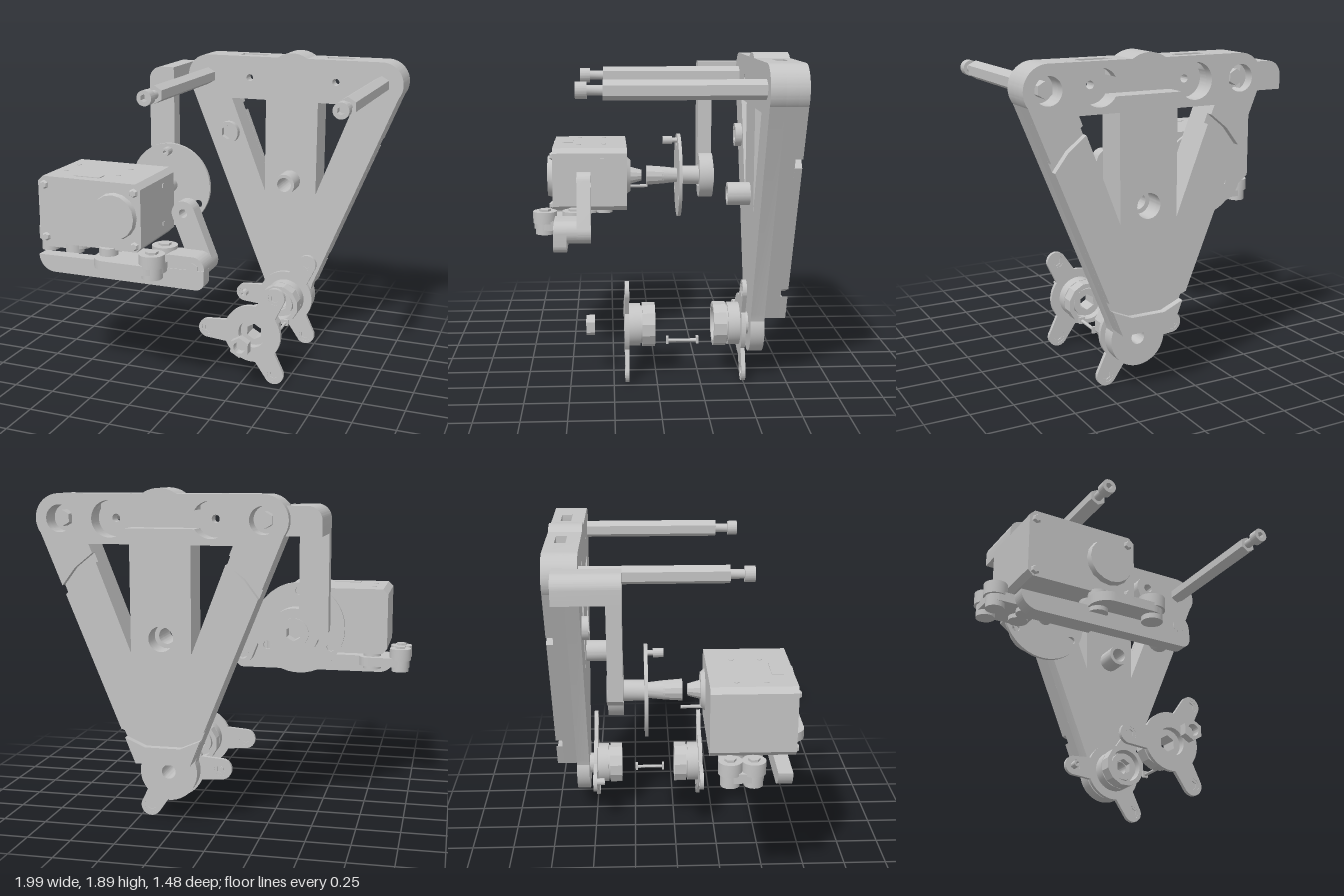
import * as THREE from 'three';
import { toCreasedNormals } from 'three/addons/utils/BufferGeometryUtils.js';

const PI = Math.PI;

export function createModel() {
  const root = new THREE.Group();
  const grey = new THREE.MeshStandardMaterial({ color: 0xc4c4c4 });
  grey.name = 'light machined grey';

  const add = (name, geo) => {
    const m = new THREE.Mesh(toCreasedNormals(geo, 0.5), grey);
    m.name = name;
    root.add(m);
  };
  const poly = pts => new THREE.Shape(pts.map(p => new THREE.Vector2(...p)));
  const disc = (x, y, r) => new THREE.Shape().absarc(x, y, r, 0, 2 * PI, false);
  const hex = (x, y, r) => poly([...Array(6)].map((_, i) =>
    [x + r * Math.sin(i * PI / 3), y + r * Math.cos(i * PI / 3)]));
  // extrude a front-facing shape between two depths
  const slab = (name, shape, z0, z1, holes = []) => {
    shape.holes.push(...holes);
    const g = new THREE.ExtrudeGeometry(shape, { depth: z1 - z0, bevelEnabled: false, curveSegments: 24 });
    add(name, g.translate(0, 0, z0));
  };
  // cylinder or cone along z; rBack at z0, rFront at z1
  const rod = (name, x, y, z0, z1, rBack, rFront = rBack, n = 32) => add(name,
    new THREE.CylinderGeometry(rFront, rBack, z1 - z0, n).rotateX(PI / 2).translate(x, y, (z0 + z1) / 2));
  const post = (name, x, z, y0, y1, r, n = 24) => add(name,
    new THREE.CylinderGeometry(r, r, y1 - y0, n).translate(x, (y0 + y1) / 2, z));
  const box = (name, x0, x1, y0, y1, z0, z1) => add(name,
    new THREE.BoxGeometry(x1 - x0, y1 - y0, z1 - z0).translate((x0 + x1) / 2, (y0 + y1) / 2, (z0 + z1) / 2));
  // rounded link between two pivots
  const linkShape = (ax, ay, bx, by, r) => {
    const a = Math.atan2(by - ay, bx - ax);
    return new THREE.Shape().absarc(ax, ay, r, a + PI / 2, a + 1.5 * PI, false)
      .absarc(bx, by, r, a - PI / 2, a + PI / 2, false);
  };
  const screw = (x, y, z0, z1, r) => {
    rod('screwShank', x, y, z0, z1 - 0.05, r * 0.6, r * 0.6, 16);
    slab('screwHead', disc(x, y, r), z1 - 0.06, z1, [hex(x, y, r * 0.5)]);
  };

  // ---- A-frame: three stacked layers, mirrored about CX ----
  const CX = 0.3;
  const mir = pts => pts.map(([x, y]) => [2 * CX - x, y]).reverse();
  const both = half => poly([...half, ...mir(half)]);
  const top = [[-0.378, 1.67], [-0.26, 1.6], [-0.1, 1.6], [0.13, 1.01], [0.13, 1.6]];
  const front = both(top);
  front.lineTo(0.466, 0.41);
  front.absarc(CX, 0.31, 0.165, 0.35, PI - 0.35, true);
  front.lineTo(0.134, 0.41);
  slab('frameFront', front, -0.62, -0.54, [disc(CX, 1.09, 0.045), disc(CX, 0.31, 0.04)]);
  slab('frameMiddle', both([[0.144, 0.385], ...top]), -0.7, -0.62, [disc(CX, 1.09, 0.07)]);
  // back layer is split by a circular groove
  slab('frameBack', both([[CX - 0.1, 0.53], [0.065, 0.58], [-0.236, 1.32], [-0.16, 1.42], [-0.06, 1.5],
    [0.13, 1.01], [0.13, 1.6]]), -0.74, -0.7, [disc(CX, 1.09, 0.07)]);
  slab('frameBackFoot', both([[0.144, 0.385], [0.086, 0.53], [0.2, 0.48]]), -0.74, -0.7);
  const stub = [[-0.378, 1.67], [-0.26, 1.6], [-0.1, 1.6], [-0.08, 1.55], [-0.18, 1.47], [-0.256, 1.37]];
  for (const s of [stub, mir(stub)]) slab('frameBackShoulder', poly(s), -0.74, -0.7);

  // ---- top bar with pockets open to the back and to the top ----
  const BY = 1.735, BL = -0.262, BR = 0.863;
  const bump = s => s.absarc(CX, BY, 0.165, PI - 0.957, 0.957, true);
  const leftEnd = () => new THREE.Shape().absarc(BL, BY, 0.135, -PI / 2, -1.5 * PI, true);
  const rightEnd = s => s.absarc(BR, BY, 0.135, PI / 2, -PI / 2, true);
  const bar = () => rightEnd(bump(leftEnd()));
  slab('topBarFront', bar(), -0.62, -0.54, [disc(0.02, BY, 0.022), disc(0.58, BY, 0.022)]);
  const pocket = new THREE.Path().absarc(0.02, BY, 0.1, 0.52, 2 * PI - 0.52, false)
    .absarc(0.58, BY, 0.1, PI + 0.52, 3 * PI - 0.52, false);
  const corners = () => [disc(BL, BY, 0.075), disc(BR, BY, 0.075)];
  slab('topBarBack', bar(), -0.74, -0.685, [pocket, ...corners()]);
  const slotted = leftEnd();
  slotted.lineTo(-0.066, 1.87);
  slotted.absarc(0.02, BY, 0.1, PI - 0.53, 2 * PI - 0.52, false)
    .absarc(0.58, BY, 0.1, PI + 0.52, 2 * PI + 0.53, false);
  slotted.lineTo(0.666, 1.87);
  slab('topBarSlotted', rightEnd(slotted), -0.685, -0.62, corners());
  const island = poly([[0.495, 1.87], [0.495, 1.785], [0.105, 1.785], [0.105, 1.87]]);
  slab('topBarIsland', bump(island), -0.685, -0.62);

  // hexagonal standoffs with end screws
  for (const x of [BL, BR]) {
    slab('standoff', hex(x, BY, 0.053), -0.54, 0.3);
    rod('standoffBolt', x, BY, -0.7, -0.6, 0.045, 0.045, 6);
    screw(x, BY, 0.3, 0.44, 0.045);
  }
  slab('centreBoss', disc(CX, 1.09, 0.066), -0.54, -0.41, [disc(CX, 1.09, 0.045)]);
  slab('frameInsert', disc(-0.115, 1.38, 0.07), -0.54, -0.5, [hex(-0.115, 1.38, 0.045)]);

  // ---- two bearing hubs with three-armed flanges ----
  const HY = 0.31;
  const armAngles = [PI / 3, PI, 5 * PI / 3];
  const armEnds = armAngles.map(a => [CX + 0.28 * Math.cos(a), HY + 0.28 * Math.sin(a)]);
  const flange = () => {
    const s = new THREE.Shape();
    armAngles.forEach((a, i) => {
      s.absarc(CX, HY, 0.178, a - PI / 3, a - 0.4, false);
      s.absarc(...armEnds[i], 0.06, a - PI / 2, a + PI / 2, false);
      s.absarc(CX, HY, 0.178, a + 0.4, a + PI / 3, false);
    });
    return s;
  };
  for (const [zf, dir] of [[0.173, -1], [-0.498, 1]]) {
    const span = (a, b) => [zf + dir * a, zf + dir * b].sort((p, q) => p - q);
    slab('hubFlange', flange(), ...span(-0.012, 0.012),
      [disc(CX, HY, 0.085), ...armEnds.map(([x, y]) => disc(x, y, 0.04))]);
    for (const [x, y] of armEnds) {
      slab('armInsert', disc(x, y, 0.04), ...span(-0.01, 0.01), [hex(x, y, 0.026)]);
      rod('armInsertFloor', x, y, zf - 0.004, zf + 0.004, 0.03, 0.03, 12);
    }
    slab('hubCollar', disc(CX, HY, 0.125), ...span(0.012, 0.08), [disc(CX, HY, 0.085)]);
    slab('hubNeck', disc(CX, HY, 0.11), ...span(0.08, 0.09), [disc(CX, HY, 0.085)]);
    const ring = poly([...Array(12)].map((_, i) =>
      [CX + 0.13 * Math.cos((i + 0.5) * PI / 6), HY + 0.13 * Math.sin((i + 0.5) * PI / 6)]));
    slab('hubRing', ring, ...span(0.09, 0.165), [disc(CX, HY, 0.1)]);
    slab('hubBush', disc(CX, HY, 0.085), ...span(0.03, 0.14), [hex(CX, HY, 0.05)]);
  }
  slab('hubShaft', disc(CX, HY, 0.065), -0.54, -0.4, [disc(CX, HY, 0.04)]);
  screw(0.02, HY, -0.51, -0.44, 0.022);
  slab('axleNut', hex(CX, HY, 0.062), 0.36, 0.41, [disc(CX, HY, 0.035)]);
  rod('springPin', 0.38, 0.235, -0.24, -0.06, 0.01, 0.01, 10);
  for (const z of [-0.245, -0.07]) box('springPinEnd', 0.362, 0.398, 0.218, 0.258, z, z + 0.015);

  // ---- crank bracket and encoder disc ----
  const MX = -0.37, MY = 1.09;
  const corner = new THREE.Shape();
  corner.moveTo(-0.4, 1.65);
  corner.lineTo(-0.4, 1.81);
  corner.absarc(-0.485, 1.73, 0.08, PI / 2, PI, false);
  corner.lineTo(-0.565, 1.65);
  slab('bracketTop', corner, -0.68, -0.3);
  box('bracketTab', -0.4, -0.3, 1.65, 1.81, -0.68, -0.62);
  slab('bracketArm', poly([[-0.565, 1.65], [-0.565, 1.1], [-0.5, 1.05], [-0.4, 1.09], [-0.4, 1.65]]), -0.388, -0.302);
  slab('bracketEye', disc(MX, MY, 0.14), -0.388, -0.302, [disc(MX, MY, 0.075)]);
  slab('bracketBearing', disc(MX, MY, 0.085), -0.397, -0.31, [hex(MX, MY, 0.045)]);
  rod('discHub', MX, MY, -0.31, -0.185, 0.06);
  slab('disc', disc(MX, MY, 0.265), -0.185, -0.165,
    [PI / 2, -PI / 6, -5 * PI / 6].map(a => disc(MX + 0.215 * Math.cos(a), MY + 0.215 * Math.sin(a), 0.025)));
  screw(MX, 1.315, -0.165, -0.075, 0.026);
  rod('shaftSleeve', MX, MY, -0.165, -0.07, 0.045, 0.055);
  rod('shaftCoupling', MX, MY, -0.08, 0.03, 0.055, 0.063, 12);

  // ---- motor housing ----
  const c = 0.03;
  slab('motorHousing', poly([[-0.855 + c, 0.89], [-0.21 - c, 0.89], [-0.21, 0.89 + c], [-0.21, 1.285 - c],
    [-0.21 - c, 1.285], [-0.855 + c, 1.285], [-0.855, 1.285 - c], [-0.855, 0.89 + c]]), 0.156, 0.622);
  rod('motorCap', MX, MY, 0.622, 0.655, 0.137, 0.13, 16);
  rod('motorFlange', MX, MY, 0.132, 0.156, 0.1, 0.12);
  rod('motorShaft', MX, MY, 0.06, 0.132, 0.035, 0.055, 12);
  rod('motorPin', -0.43, 1.01, 0.02, 0.156, 0.01, 0.01, 10);
  for (const x of [-0.815, -0.25]) for (const y of [0.925, 1.235])
    rod('housingScrew', x, y, 0.622, 0.637, 0.027, 0.018, 6);
  for (const x of [-0.76, -0.42]) for (const z of [0.3, 0.46])
    post('topPlug', x, z, 1.283, 1.288, 0.014, 12);
  box('topPlate', -0.655, -0.49, 1.283, 1.289, 0.5, 0.565);
  for (const y of [0.98, 1.21]) box('sidePlug', -0.211, -0.206, y - 0.012, y + 0.012, 0.3, 0.324);

  // ---- lower rail and lever ----
  const rail = new THREE.Shape();
  rail.moveTo(-0.88, 0.82);
  rail.absarc(-0.78, 0.805, 0.1, PI, 1.5 * PI, false);
  rail.absarc(0.11, 0.755, 0.05, -PI / 2, 0, false);
  rail.lineTo(0.16, 0.82);
  slab('lowerRail', rail, 0.524, 0.605);
  slab('railBlock', linkShape(-0.04, 0.825, 0.09, 0.825, 0.07), 0.455, 0.6);
  slab('lever', linkShape(-0.02, 1.1, 0.09, 0.825, 0.07), 0.38, 0.465,
    [disc(-0.02, 1.1, 0.025), disc(0.09, 0.825, 0.04)]);
  rod('leverBolt', 0.09, 0.825, 0.4, 0.606, 0.038, 0.038, 6);

  // ---- mounting brackets with rubber feet ----
  const plate = (name, x0, x1, z0, z1, r) => {
    const s = new THREE.Shape().absarc(x0 + r, -z1 + r, r, PI, 1.5 * PI, false)
      .absarc(x1 - r, -z1 + r, r, -PI / 2, 0, false)
      .absarc(x1 - r, -z0 - r, r, 0, PI / 2, false)
      .absarc(x0 + r, -z0 - r, r, PI / 2, PI, false);
    const g = new THREE.ExtrudeGeometry(s, { depth: 0.055, bevelEnabled: false });
    add(name, g.rotateX(-PI / 2).translate(0, 0.8, 0));
  };
  plate('leftMount', -0.98, -0.68, 0.21, 0.44, 0.06);
  plate('rightMount', -0.49, -0.06, 0.43, 0.735, 0.1);
  for (const [x, z, r] of [[-0.93, 0.26, 0.065], [-0.93, 0.385, 0.065], [-0.125, 0.485, 0.074], [-0.125, 0.665, 0.074]]) {
    post('foot', x, z, 0.84, 0.912, r);
    post('footStem', x, z, 0.77, 0.84, r * 0.8);
    post('footBolt', x, z, 0.91, 0.925, r * 0.5, 6);
  }
  for (const [x, z] of [[-0.755, 0.3], [-0.755, 0.4], [-0.425, 0.5], [-0.425, 0.6]])
    post('mountSpacer', x, z, 0.775, 0.9, 0.055);
  return root;
}
